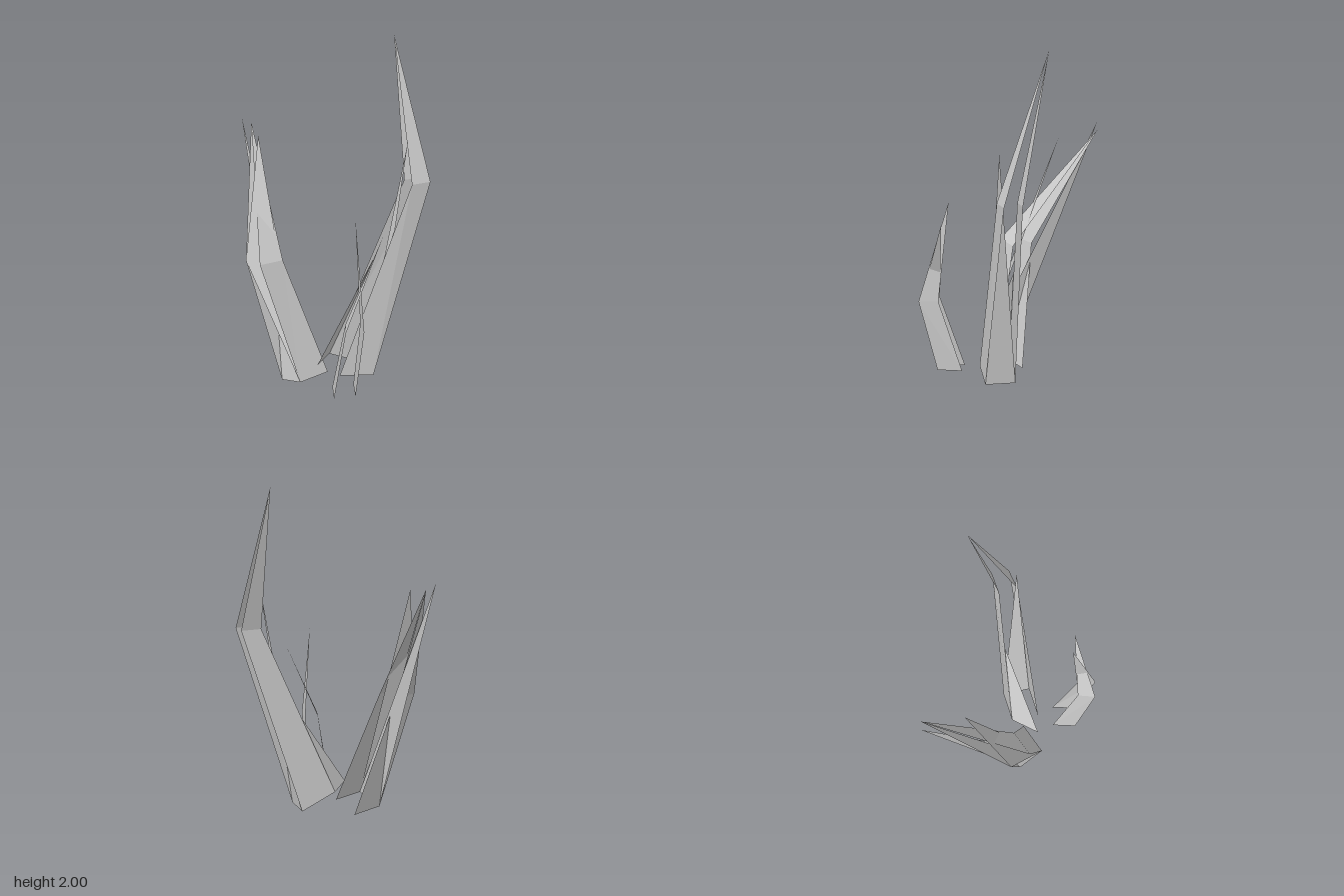
import * as THREE from 'three';

const material = new THREE.MeshStandardMaterial({
  color: 0xcccccc, flatShading: true, side: THREE.DoubleSide,
});

function leafMesh(name, triangles) {
  const geometry = new THREE.BufferGeometry();
  geometry.setAttribute('position', new THREE.Float32BufferAttribute(triangles.flat(2), 3));
  geometry.computeVertexNormals();
  const mesh = new THREE.Mesh(geometry, material);
  mesh.name = name;
  return mesh;
}

// Bent strip: a base edge joined to a middle edge, then drawn to a point
function strip(name, [a, b], [c, d], tip) {
  return leafMesh(name, [[a, b, d], [a, d, c], [c, d, tip]]);
}

// Two strips facing each other and sharing one tip, open between them
function splitBlade(name, base, middle, tip) {
  const blade = new THREE.Group();
  blade.name = name;
  blade.add(
    strip('rightStrip', base.slice(0, 2), middle.slice(0, 2), tip),
    strip('leftStrip', base.slice(2), middle.slice(2), tip),
  );
  return blade;
}

// Flat spike: a single long triangle
const spike = (name, a, b, tip) => leafMesh(name, [[a, b, tip]]);

export function createModel() {
  const group = new THREE.Group();
  group.name = 'grassTuft';

  // Front clump: split blade with two spikes between its strips
  const frontBase = [[-0.03, 0, 0.125], [-0.03, 0, 0.345], [0.145, 0.05, 0.345], [0.145, 0.05, 0.135]];
  const frontMiddle = [[-0.2, 0.74, 0.305], [-0.2, 0.74, 0.465], [-0.065, 0.75, 0.465], [-0.065, 0.74, 0.3]];
  group.add(
    splitBlade('frontBlade', frontBase, frontMiddle, [-0.57, 1.45, 0.135]),
    spike('frontOuterSpike', frontBase[1], frontBase[2], [-0.6, 1.49, 0.185]),
    spike('frontInnerSpike', frontBase[2], frontMiddle[1], [-0.36, 1.42, 0.24]),
  );

  // Back clump: the tallest split blade with two spikes
  const backBase = [[0.09, 0.13, 0.075], [0.165, 0.035, -0.13], [0.33, 0.035, -0.065], [0.26, 0.07, 0.14]];
  const backMiddle = [[0.27, 1.18, -0.345], [0.305, 1.18, -0.465], [0.4, 1.18, -0.43], [0.375, 1.18, -0.305]];
  group.add(
    splitBlade('tallBlade', backBase, backMiddle, [0.105, 2, -0.4]),
    spike('backSpike', backBase[1], backBase[2], [0.35, 1.44, -0.29]),
    spike('shortSpike', backBase[0], [0.18, 0.14, 0.245], [0.205, 0.73, -0.185]),
  );

  // Side clump: two narrow bent strips
  group.add(
    strip('sideFrontBlade',
      [[0.31, 0.05, 0.24], [0.43, 0.05, 0.33]],
      [[0.455, 0.5, 0.27], [0.54, 0.5, 0.34]], [0.535, 1, 0.065]),
    strip('sideBackBlade',
      [[0.38, 0.06, 0.14], [0.5, 0.06, 0.23]],
      [[0.5, 0.5, 0.2], [0.6, 0.5, 0.26]], [0.43, 1.1, 0.18]),
  );
  return group;
}
